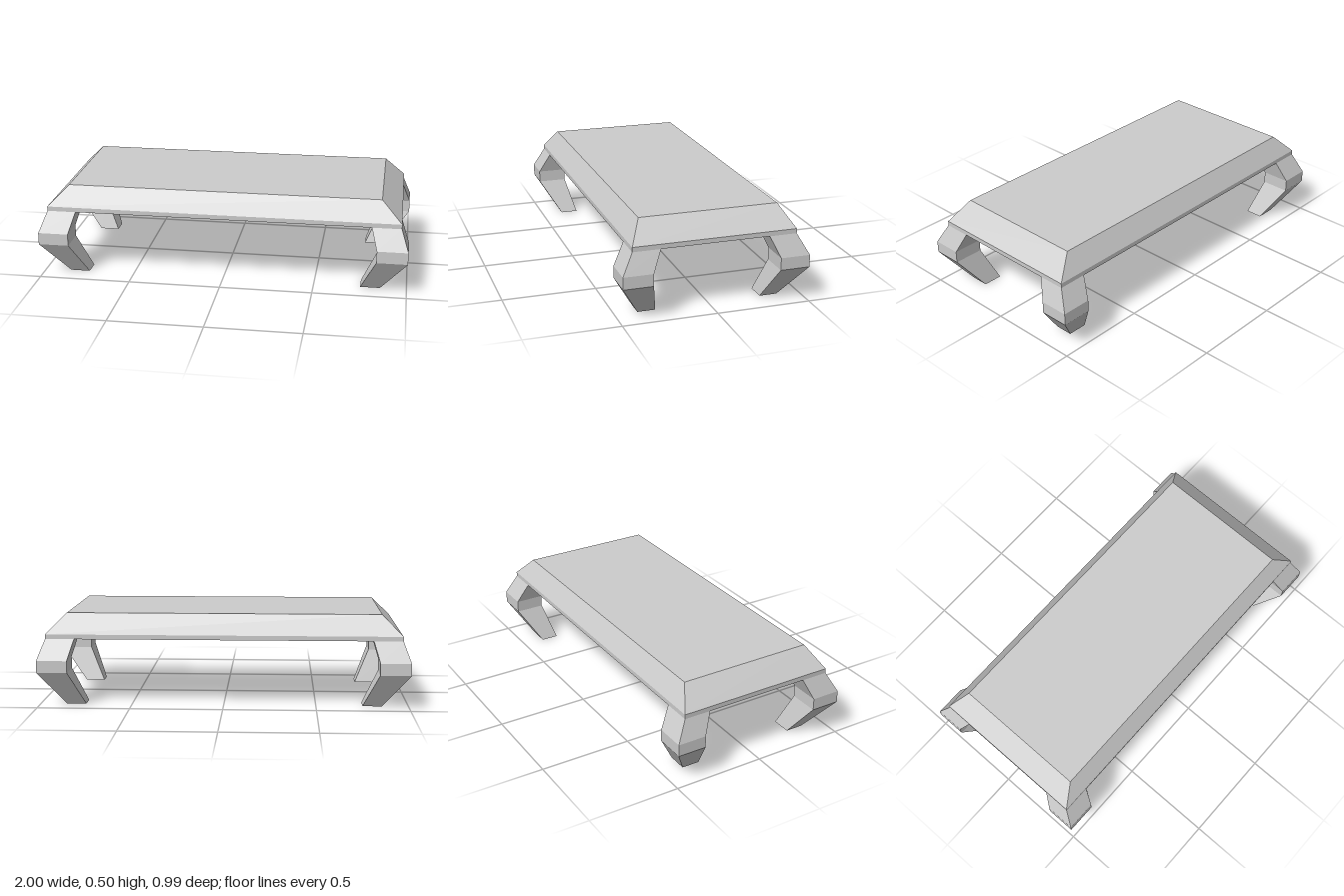
import * as THREE from 'three';

const material = new THREE.MeshStandardMaterial({ color: 0xcccccc, flatShading: true });

// Solid through stacked rectangles, bottom to top: [y, x0, x1, z0, z1]
function loftRects(name, sections) {
  const rings = sections.map(([y, xa, xb, za, zb]) => {
    const x0 = Math.min(xa, xb), x1 = Math.max(xa, xb);
    const z0 = Math.min(za, zb), z1 = Math.max(za, zb);
    return [[x0, y, z1], [x1, y, z1], [x1, y, z0], [x0, y, z0]];
  });
  const pos = [];
  const quad = (a, b, c, d) => pos.push(...a, ...b, ...c, ...a, ...c, ...d);
  for (let i = 0; i < rings.length - 1; i++) {
    const lo = rings[i], hi = rings[i + 1];
    for (let k = 0; k < 4; k++) {
      const n = (k + 1) % 4;
      quad(lo[k], lo[n], hi[n], hi[k]);
    }
  }
  const first = rings[0], last = rings[rings.length - 1];
  quad(first[3], first[2], first[1], first[0]);
  quad(...last);
  const geometry = new THREE.BufferGeometry();
  geometry.setAttribute('position', new THREE.Float32BufferAttribute(pos, 3));
  geometry.computeVertexNormals();
  const mesh = new THREE.Mesh(geometry, material);
  mesh.name = name;
  return mesh;
}

export function createModel() {
  const model = new THREE.Group();
  model.name = 'lowTable';

  // Slab with a thin rim and bevelled edges
  model.add(loftRects('tableTop', [
    [0.365, -0.96, 0.96, -0.435, 0.435],
    [0.39, -0.96, 0.96, -0.435, 0.435],
    [0.5, -0.85, 0.85, -0.37, 0.37],
  ]));

  // Bowed legs: flare out at the knee, taper in to the foot
  const legSections = [
    [0, 0.858, 0.752, 0.38, 0.285],
    [0.19, 1, 0.835, 0.495, 0.337],
    [0.255, 1, 0.835, 0.495, 0.337],
    [0.365, 0.96, 0.803, 0.435, 0.288],
  ];
  for (const sx of [-1, 1]) {
    for (const sz of [-1, 1]) {
      const name = (sz > 0 ? 'front' : 'back') + (sx > 0 ? 'Left' : 'Right') + 'Leg';
      model.add(loftRects(name, legSections.map(([y, xo, xi, zo, zi]) =>
        [y, sx * xo, sx * xi, sz * zo, sz * zi])));
    }
  }
  return model;
}
